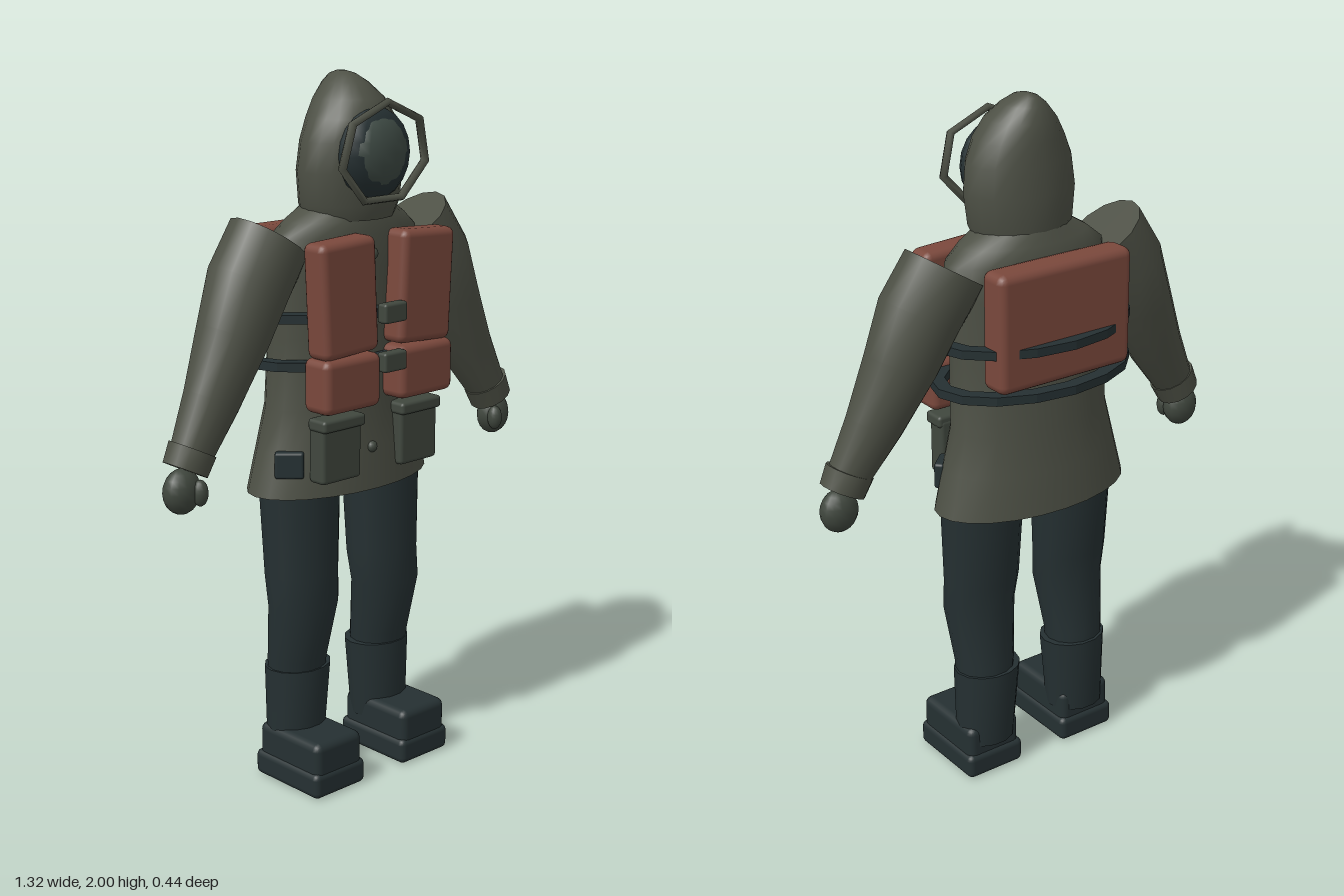
import * as THREE from 'three';
import { RoundedBoxGeometry } from 'three/addons/geometries/RoundedBoxGeometry.js';

const mat = (name, color) => Object.assign(new THREE.MeshStandardMaterial({ color }), { name });

// Smooth skin through cross-sections {c, u, v}, listed bottom to top, with sharp end caps
function loft(rings, n = 16) {
  const pos = [], idx = [];
  const addRing = ({ c, u, v }) => {
    const start = pos.length / 3;
    for (let i = 0; i < n; i++) {
      const a = (i / n) * Math.PI * 2, p = c.clone();
      p.addScaledVector(u, Math.cos(a)).addScaledVector(v, Math.sin(a));
      pos.push(p.x, p.y, p.z);
    }
    return start;
  };
  const starts = rings.map(addRing);
  for (let k = 0; k + 1 < starts.length; k++) {
    for (let i = 0; i < n; i++) {
      const j = (i + 1) % n, a = starts[k], b = starts[k + 1];
      idx.push(a + i, b + i, a + j, a + j, b + i, b + j);
    }
  }
  [rings[0], rings[rings.length - 1]].forEach((ring, end) => {
    const s = addRing(ring);
    for (let i = 1; i + 1 < n; i++) idx.push(s, s + (end ? i + 1 : i), s + (end ? i : i + 1));
  });
  const g = new THREE.BufferGeometry();
  g.setAttribute('position', new THREE.Float32BufferAttribute(pos, 3));
  g.setIndex(idx);
  g.computeVertexNormals();
  return g;
}

// Level cross-section: height, centre x, half width, front z, back z
const level = ([y, x, rx, front, back]) => ({
  c: new THREE.Vector3(x, y, (front + back) / 2),
  u: new THREE.Vector3(rx, 0, 0),
  v: new THREE.Vector3(0, 0, (front - back) / 2),
});

export function createModel() {
  const root = new THREE.Group();
  root.name = 'suitedFigure';
  const olive = mat('olive cloth', 0x4d5045);
  const dark = mat('dark slate', 0x253032);
  const rust = mat('rust canvas', 0x7a483c);
  const pocketGreen = mat('pocket green', 0x40473e);
  const visorGreen = mat('visor green', 0x3e4a44);

  const add = (name, geo, material, x = 0, y = 0, z = 0) => {
    const m = new THREE.Mesh(geo, material);
    m.name = name;
    m.position.set(x, y, z);
    root.add(m);
    return m;
  };
  const box = (name, w, h, d, r, material, x, y, z) =>
    add(name, new RoundedBoxGeometry(w, h, d, 2, r), material, x, y, z);
  const ball = (name, rx, ry, rz, material, x, y, z) =>
    add(name, new THREE.SphereGeometry(1, 14, 10).scale(rx, ry, rz), material, x, y, z);

  // Coat with flared hem
  add('coat', loft([
    [0.86, 0, 0.31, 0.155, -0.18], [0.98, 0, 0.28, 0.145, -0.165],
    [1.1, 0, 0.25, 0.135, -0.15], [1.3, 0, 0.245, 0.135, -0.135],
    [1.48, 0, 0.26, 0.14, -0.12], [1.57, 0, 0.25, 0.135, -0.11],
    [1.61, 0, 0.2, 0.13, -0.095], [1.645, 0, 0.14, 0.12, -0.08],
  ].map(level), 24), olive);

  // Hood
  add('hood', loft([
    [1.61, 0, 0.135, 0.14, -0.075], [1.65, 0, 0.155, 0.15, -0.083],
    [1.74, 0, 0.166, 0.155, -0.083], [1.82, 0, 0.156, 0.155, -0.076],
    [1.88, 0, 0.13, 0.15, -0.072], [1.93, 0, 0.098, 0.128, -0.066],
    [1.97, 0, 0.06, 0.085, -0.05], [1.992, 0, 0.03, 0.05, -0.035],
    [2.0, 0, 0.008, 0.02, -0.012],
  ].map(level), 20), olive);

  // Face mask, visor and angular hood rim
  ball('maskSeal', 0.125, 0.125, 0.055, dark, 0, 1.785, 0.13);
  ball('visor', 0.102, 0.102, 0.05, visorGreen, 0, 1.79, 0.143);
  const rim = new THREE.TorusGeometry(0.146, 0.012, 6, 7);
  rim.rotateZ(Math.PI / 2).scale(1.08, 0.93, 1).rotateX(0.06);
  add('hoodRim', rim, olive, 0, 1.79, 0.172);

  // Harness belts: flat oval hoops around the chest
  const hoop = (outer) => {
    const pts = [];
    for (let i = 0; i < 16; i++) {
      const a = (i / 16) * Math.PI * 2, k = outer ? 0 : 0.04;
      pts.push(new THREE.Vector2((0.31 - k) * Math.cos(a), (0.2 - k) * Math.sin(a)));
    }
    return pts;
  };
  for (const y of [1.35, 1.22]) {
    const shape = new THREE.Shape(hoop(true));
    shape.holes.push(new THREE.Path(hoop(false)));
    const belt = new THREE.ExtrudeGeometry(shape, { depth: 0.025, bevelEnabled: false });
    add('harnessBelt', belt.rotateX(-Math.PI / 2), dark, 0, y, -0.02);
  }

  // Backpack
  box('backpack', 0.44, 0.335, 0.095, 0.025, rust, 0, 1.417, -0.138);

  // Buckles and coat buttons
  for (const y of [1.365, 1.23]) box('buckle', 0.085, 0.055, 0.035, 0.008, pocketGreen, 0.005, y, 0.2);
  for (const y of [1.52, 1.12, 0.98]) ball('button', 0.016, 0.016, 0.014, pocketGreen, -0.015, y, 0.143);

  for (const s of [1, -1]) {
    // Chest pouches
    box('chestPouch', 0.2, 0.315, 0.085, 0.022, rust, s * 0.145, 1.42, 0.158).rotation.z = -s * 0.05;
    box('lowerPouch', 0.205, 0.15, 0.1, 0.022, rust, s * 0.14, 1.187, 0.157);

    // Coat pockets with flaps
    box('coatPocket', 0.145, 0.17, 0.06, 0.012, pocketGreen, s * 0.148, 0.995, 0.136);
    box('pocketFlap', 0.155, 0.035, 0.07, 0.01, pocketGreen, s * 0.148, 1.075, 0.143);

    // Dark hip patch
    const patch = box('hipPatch', 0.08, 0.075, 0.03, 0.008, dark, s * 0.25, 0.955, 0.062);
    patch.rotation.y = s * 0.75;

    // Sleeves: x, y, z, radius across, radius in depth, tilt of the section
    const section = ([x, y, z, r, rz, tilt]) => ({
      c: new THREE.Vector3(s * x, y, z),
      u: new THREE.Vector3(s * r * Math.cos(tilt), r * Math.sin(tilt), 0),
      v: new THREE.Vector3(0, 0, s * rz),
    });
    add('sleeve', loft([
      [0.575, 1.03, 0.035, 0.06, 0.055, 0.47], [0.49, 1.17, 0.025, 0.083, 0.072, 0.5],
      [0.405, 1.33, 0.015, 0.105, 0.098, 0.42], [0.345, 1.46, 0.01, 0.12, 0.112, 0.5],
      [0.265, 1.572, 0.005, 0.125, 0.1, 0.56],
    ].map(section), 14), olive);
    add('cuff', loft([
      [0.589, 1.003, 0.035, 0.066, 0.06, 0.47], [0.563, 1.055, 0.035, 0.071, 0.062, 0.47],
    ].map(section), 14), olive);

    // Gloved hand
    ball('hand', 0.056, 0.062, 0.042, pocketGreen, s * 0.602, 0.948, 0.035);
    ball('thumb', 0.022, 0.036, 0.022, pocketGreen, s * 0.57, 0.945, 0.072);

    // Trouser leg with a slight knee bend
    add('trouserLeg', loft([
      [0.25, s * 0.163, 0.085, 0.06, -0.09], [0.36, s * 0.163, 0.09, 0.072, -0.09],
      [0.53, s * 0.161, 0.11, 0.106, -0.07], [0.62, s * 0.158, 0.115, 0.1, -0.085],
      [0.9, s * 0.157, 0.13, 0.095, -0.095],
    ].map(level), 14), dark);

    // Gaiter and boot
    add('gaiter', loft([
      [0.1, s * 0.166, 0.088, 0.065, -0.092], [0.335, s * 0.157, 0.102, 0.074, -0.1],
    ].map(level), 14), dark);
    box('bootUpper', 0.175, 0.11, 0.25, 0.022, dark, s * 0.17, 0.105, 0.055);
    box('bootSole', 0.192, 0.075, 0.265, 0.018, dark, s * 0.17, 0.0375, 0.053);
  }
  return root;
}
